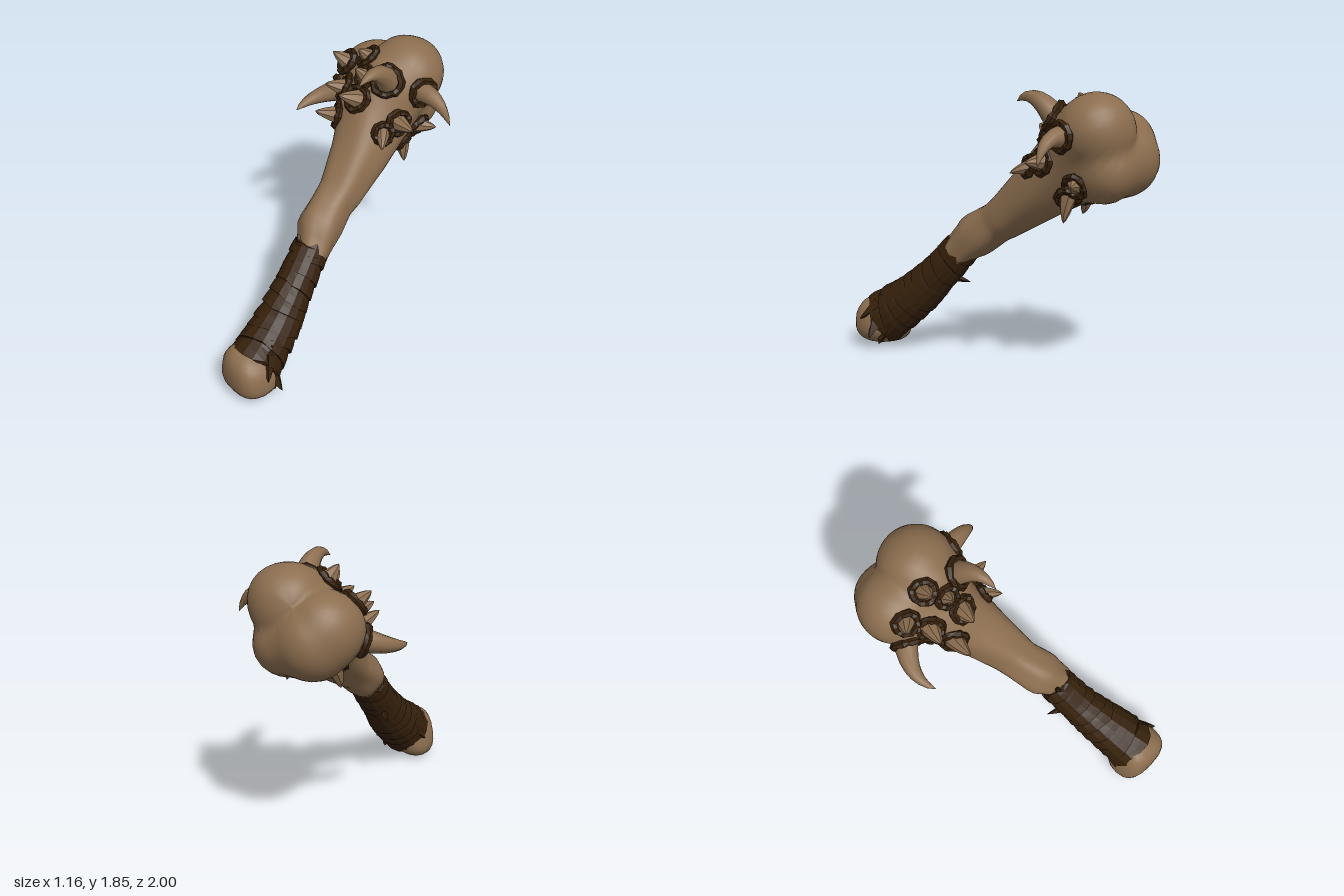
import * as THREE from 'three';

const V = (x, y, z) => new THREE.Vector3(x, y, z);
const bone = new THREE.MeshStandardMaterial({ color: 0x8c6e4f });
bone.name = 'bone';
const leather = new THREE.MeshStandardMaterial({ color: 0x35200b });
leather.name = 'leather';

// small seeded random
let seed = 7;
const rnd = () => ((seed = (seed * 16807) % 2147483647) / 2147483647);

// skin closed rings that advance along their axis
function loft(rings, flat = false) {
  const n = rings[0].length, pos = [], idx = [];
  rings.forEach(r => r.forEach(p => pos.push(p.x, p.y, p.z)));
  for (let i = 0; i < rings.length - 1; i++) for (let j = 0; j < n; j++) {
    const a = i * n + j, b = i * n + (j + 1) % n;
    idx.push(a, b, a + n, b, b + n, a + n);
  }
  let g = new THREE.BufferGeometry();
  g.setAttribute('position', new THREE.Float32BufferAttribute(pos, 3));
  g.setIndex(idx);
  if (flat) g = g.toNonIndexed();
  g.computeVertexNormals();
  return g;
}

// two directions across d, right-handed with it
function frame(d) {
  const u = V(0, 1, 0).cross(d);
  if (u.length() < 0.05) u.set(1, 0, 0).cross(d);
  u.normalize();
  return [u, d.clone().cross(u)];
}

function add(group, name, geo, mat) {
  const m = new THREE.Mesh(geo, mat);
  m.name = name;
  group.add(m);
  return m;
}

// bone volume: tapered capsules [start, radius, end, radius], softly merged
const shaft = [
  [V(0.21, 0.74, 0.24), 0.1], [V(0.13, 0.865, 0.12), 0.146], [V(0.08, 0.96, -0.01), 0.135],
  [V(0.06, 1.02, -0.1), 0.147], [V(-0.02, 1.21, -0.33), 0.197], [V(-0.11, 1.38, -0.52), 0.26],
];
const capsules = shaft.slice(1).map((s, i) => [...shaft[i], ...s]);
const lobes = [
  [V(-0.1, 1.56, -0.66), 0.255, V(-0.085, 1.615, -0.74), 0.247],
  [V(-0.325, 1.48, -0.69), 0.255, V(-0.29, 1.43, -0.745), 0.25],
  [V(-0.29, 1.43, -0.745), 0.25, V(-0.13, 1.39, -0.775), 0.222],
];
function capsule(p, [a, ra, b, rb]) {
  const ab = b.clone().sub(a);
  const t = THREE.MathUtils.clamp(p.clone().sub(a).dot(ab) / ab.lengthSq(), 0, 1);
  return p.distanceTo(a.clone().addScaledVector(ab, t)) - (ra + (rb - ra) * t);
}
function smin(a, b, k) {
  const h = Math.max(k - Math.abs(a - b), 0) / k;
  return Math.min(a, b) - h * h * k / 4;
}
function distance(p) {
  const s = Math.min(...capsules.map(c => capsule(p, c)));
  const [upper, lowerA, lowerB] = lobes.map(c => capsule(p, c));
  return smin(s, smin(upper, Math.min(lowerA, lowerB), 0.015), 0.07);
}
function normalAt(p) {
  const e = 0.01, f = (x, y, z) => distance(p.clone().add(V(x, y, z)));
  return V(f(e, 0, 0) - f(-e, 0, 0), f(0, e, 0) - f(0, -e, 0), f(0, 0, e) - f(0, 0, -e)).normalize();
}
function ontoBone(p) {
  for (let i = 0; i < 6; i++) p.addScaledVector(normalAt(p), -distance(p));
  return p;
}

// shaft and two-lobed head, found by casting rays out from the spine
function boneGeometry() {
  const spine = new THREE.CatmullRomCurve3([...shaft.map(s => s[0]), V(-0.18, 1.49, -0.68)]);
  const d = V(-0.39, 0.75, -0.92).normalize(), [u, v] = frame(d), rings = [];
  const ring = (o, phi) => Array.from({ length: 40 }, (_, j) => {
    const a = j / 40 * Math.PI * 2;
    const dir = u.clone().multiplyScalar(Math.cos(a)).addScaledVector(v, Math.sin(a))
      .multiplyScalar(Math.cos(phi)).addScaledVector(d, Math.sin(phi));
    const p = o.clone();
    for (let k = 0; k < 50; k++) p.addScaledVector(dir, Math.max(-distance(p), 0));
    return p.addScaledVector(dir, 0.005 * Math.sin(a * 5 + o.y * 9) * Math.cos(phi));
  });
  for (let i = 0; i <= 22; i++) rings.push(ring(spine.getPoint(i / 22), 0));
  for (let i = 1; i <= 16; i++) rings.push(ring(spine.getPoint(1), i / 16 * Math.PI / 2));
  return loft(rings);
}

// pointed horn from base to tip, bulging through a control point
function hornGeometry(base, mid, tip, r, power, sides, flat) {
  const c = new THREE.QuadraticBezierCurve3(base, mid, tip), rings = [];
  for (let i = 0; i <= 7; i++) {
    const t = i / 7, o = c.getPoint(t), [u, v] = frame(c.getTangent(t));
    const w = r * Math.pow(1 - t, power) + 0.001;
    rings.push(Array.from({ length: sides }, (_, j) => {
      const a = j / sides * Math.PI * 2;
      return o.clone().addScaledVector(u, w * Math.cos(a)).addScaledVector(v, w * Math.sin(a));
    }));
  }
  return loft(rings, flat);
}

// ragged leather collar round the root of a spike
function collarGeometry(r) {
  const g = new THREE.TorusGeometry(r, 0.025, 6, 20), p = g.attributes.position;
  for (let i = 0; i < p.count; i++) {
    const a = Math.atan2(p.getY(i), p.getX(i));
    const s = 1 + 0.04 * Math.sin(a * 3 + r * 90) + 0.04 * Math.sin(a * 8);
    p.setXYZ(i, p.getX(i) * s, p.getY(i) * s, p.getZ(i) * (1.1 + 0.25 * Math.sin(a * 7)));
  }
  const f = g.toNonIndexed();
  f.computeVertexNormals();
  return f;
}

function wrapPart(group) {
  const path = new THREE.QuadraticBezierCurve3(V(0.36, 0.21, 0.81), V(0.26, 0.445, 0.475), V(0.168, 0.785, 0.21));
  const radius = t => 0.17 - 0.055 * Math.min(1, t * 1.5) + 0.007 * Math.sin(t * Math.PI);
  const n = 16;
  const ring = (t, s, tilt, ang, jag) => {
    const o = path.getPoint(t), d = path.getTangent(t), [u, v] = frame(d);
    return Array.from({ length: n }, (_, j) => {
      const a = j / n * Math.PI * 2, w = radius(t) * s;
      return o.clone().addScaledVector(u, w * Math.cos(a)).addScaledVector(v, w * Math.sin(a))
        .addScaledVector(d, tilt * Math.cos(a - ang) + (rnd() - 0.5) * jag);
    });
  };
  const core = [];
  for (let i = 0; i <= 8; i++) core.push(ring(i / 8, i === 8 ? 0.9 : 0.97, 0, 0, 0));
  add(group, 'wrapCore', loft(core, true), leather);
  // overlapping tilted strips
  for (let i = 0; i < 11; i++) {
    const t = i / 11, t2 = Math.min(t + 0.12, 1), ang = i * 0.9 + 1;
    const tilt = i === 0 || i === 10 ? 0.015 : 0.02 + rnd() * 0.03;
    add(group, 'wrapStrip', loft([
      ring(t, 0.9, tilt, ang, 0), ring(t, 1.1, tilt, ang, i === 0 ? 0.05 : 0.015),
      ring(t + 0.06, 1.07, tilt, ang, 0.01),
      ring(t2, 1.0, tilt, ang, i === 10 ? 0.05 : 0.015),
      ring(t2, 0.85, tilt, ang, 0),
    ], true), leather);
  }
  // loose leather ends: [base, tip, radius]
  [
    [V(0.17, 0.55, 0.36), V(0.045, 0.495, 0.285), 0.035], [V(0.47, 0.23, 0.76), V(0.575, 0.1, 0.74), 0.06],
    [V(0.44, 0.15, 0.72), V(0.49, 0.045, 0.74), 0.05], [V(0.46, 0.32, 0.76), V(0.57, 0.22, 0.84), 0.05],
    [V(0.22, 0.26, 0.74), V(0.17, 0.17, 0.83), 0.05], [V(0.43, 0.34, 0.72), V(0.47, 0.4, 0.74), 0.05],
    [V(0.15, 0.78, 0.27), V(0.12, 0.87, 0.29), 0.05],
  ].forEach(([a, b, r]) => add(group, 'wrapEnd',
    hornGeometry(a, a.clone().lerp(b, 0.5), b, r, 0.8, 4, true), leather));
}

export function createModel() {
  const club = new THREE.Group();
  club.name = 'boneClub';
  add(club, 'shaftAndHead', boneGeometry(), bone);

  // blunt squarish pommel, narrower toward the grip
  const pommel = new THREE.SphereGeometry(1, 20, 14), pp = pommel.attributes.position;
  const sq = c => Math.sign(c) * Math.pow(Math.abs(c), 0.75);
  for (let i = 0; i < pp.count; i++) {
    const x = sq(pp.getX(i)), y = sq(pp.getY(i)), z = sq(pp.getZ(i));
    pp.setXYZ(i, 0.365 + x * (0.19 - 0.03 * y) + 0.01 * y, 0.185 + y * (0.172 + 0.02 * Math.min(z, 0)) - 0.03 * x * y, 0.845 + z * 0.153);
  }
  pommel.computeVertexNormals();
  add(club, 'pommel', pommel, bone);

  const wrap = new THREE.Group();
  wrap.name = 'gripWrap';
  club.add(wrap);
  wrapPart(wrap);

  // spikes and curved horns: [base, tip, root radius, bend point of a horn]
  [
    [V(0.02, 1.68, -0.5), V(0.085, 1.77, -0.215), 0.08, V(0.08, 1.88, -0.36)],
    [V(0.15, 1.6, -0.68), V(0.39, 1.45, -0.72), 0.072, V(0.32, 1.63, -0.69)],
    [V(-0.45, 1.4, -0.48), V(-0.52, 1.32, -0.16), 0.078, V(-0.6, 1.34, -0.33)],
    [V(0.15, 1.43, -0.5), V(0.285, 1.435, -0.5), 0.062],
    [V(0.14, 1.39, -0.38), V(0.225, 1.34, -0.3), 0.05],
    [V(0.08, 1.29, -0.72), V(0.18, 1.31, -0.79), 0.058],
    [V(0.03, 1.22, -0.62), V(0.07, 1.05, -0.62), 0.058],
    [V(-0.24, 1.21, -0.52), V(-0.255, 1.04, -0.47), 0.058],
    [V(-0.41, 1.63, -0.5), V(-0.475, 1.7, -0.43), 0.062],
    [V(-0.31, 1.52, -0.4), V(-0.345, 1.57, -0.27), 0.066],
    [V(-0.22, 1.38, -0.3), V(-0.25, 1.46, -0.12), 0.066],
    [V(-0.1, 1.5, -0.41), V(-0.12, 1.61, -0.21), 0.066],
    [V(-0.12, 1.64, -0.48), V(-0.14, 1.75, -0.36), 0.055],
    [V(-0.19, 1.7, -0.56), V(-0.225, 1.82, -0.45), 0.06],
  ].forEach(([b, tip, r, bend]) => {
    const base = ontoBone(b), normal = normalAt(base);
    const root = base.clone().addScaledVector(normal, -0.02);
    add(club, bend ? 'horn' : 'spike', hornGeometry(root, bend || base.clone().lerp(tip, 0.5), tip, r,
      bend ? 0.75 : 0.7, bend ? 10 : 7, !bend), bone);
    const collar = add(club, 'spikeCollar', collarGeometry(r + 0.01), leather);
    collar.position.copy(base);
    collar.quaternion.setFromUnitVectors(V(0, 0, 1), normal);
  });
  return club;
}
